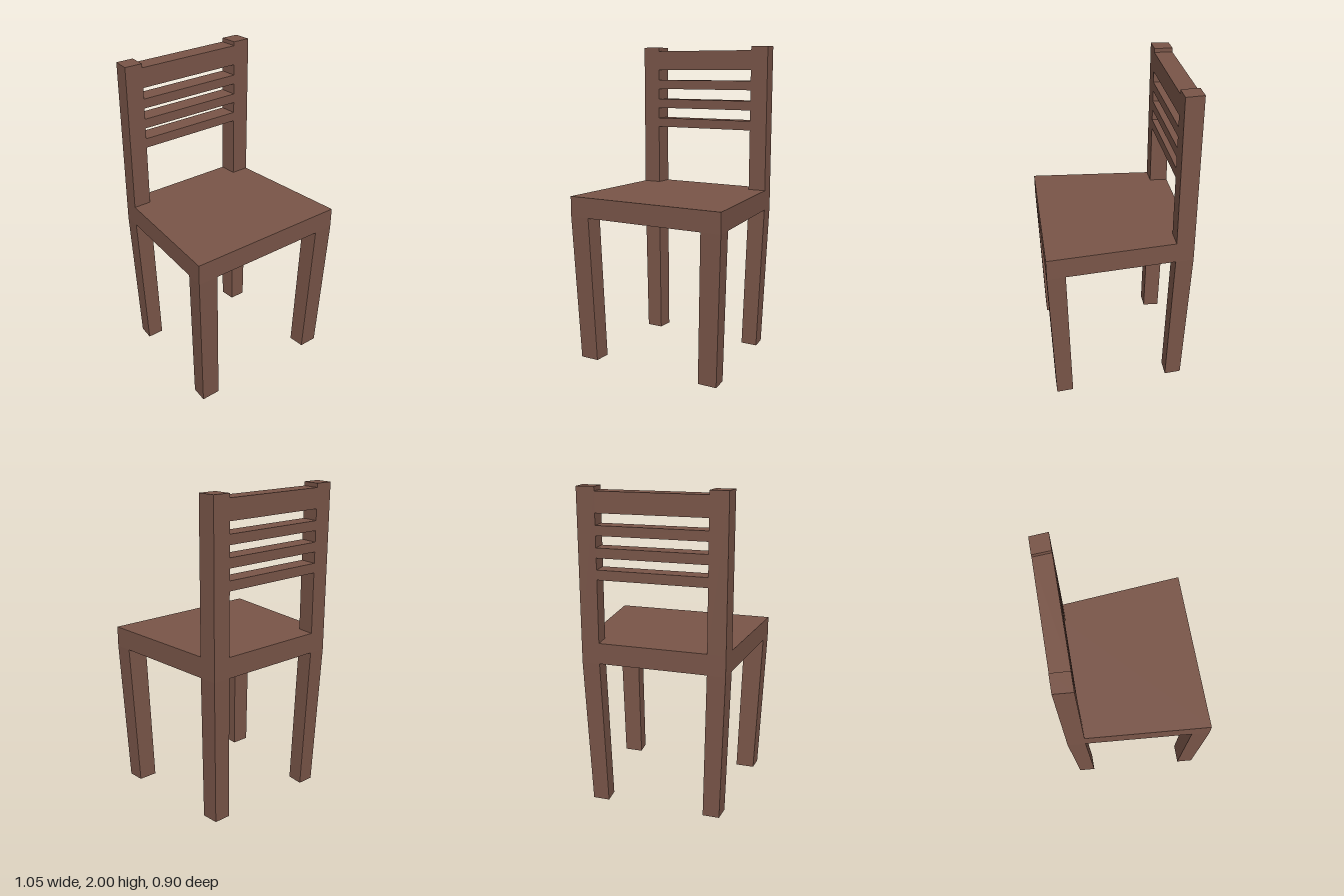
import * as THREE from 'three';

const material = new THREE.MeshStandardMaterial({ color: 0x795548, flatShading: true });

// The plan narrows toward the back: half-widths as functions of z
const outer = (z) => 0.4875 + z * 0.0833;
const inner = (z) => 0.366 + z * 0.063;
const SEAT_BOTTOM = 0.94, SEAT_TOP = 1.07, HEIGHT = 2;
const FRONT = 0.45, BACK = -0.45, INSET = 0.337;
const FOOT_SCALE = 0.933;

// Box whose sides follow left(z) and right(z); its bottom is scaled toward the centre line
function block(name, left, right, [y0, y1], [z0, z1], bottomScale = 1) {
  const geometry = new THREE.BoxGeometry(1, 1, 1);
  const p = geometry.attributes.position;
  for (let i = 0; i < p.count; i++) {
    const top = p.getY(i) > 0;
    const z = p.getZ(i) > 0 ? z1 : z0;
    const x = p.getX(i) > 0 ? right(z) : left(z);
    const s = top ? 1 : bottomScale;
    p.setXYZ(i, x * s, top ? y1 : y0, z * s);
  }
  geometry.computeVertexNormals();
  const mesh = new THREE.Mesh(geometry, material);
  mesh.name = name;
  return mesh;
}

const negate = (f) => (z) => -f(z);

export function createModel() {
  const chair = new THREE.Group();
  chair.name = 'chair';

  // Seat slab
  chair.add(block('seat', negate(outer), outer, [SEAT_BOTTOM, SEAT_TOP], [BACK, FRONT]));

  // Tapered legs and upright back posts, mirrored left and right
  for (const side of ['left', 'right']) {
    const [a, b] = side === 'left' ? [inner, outer] : [negate(outer), negate(inner)];
    const legY = [0, SEAT_BOTTOM];
    chair.add(block(side + 'FrontLeg', a, b, legY, [INSET, FRONT], FOOT_SCALE));
    chair.add(block(side + 'BackLeg', a, b, legY, [BACK, -INSET], FOOT_SCALE));
    chair.add(block(side + 'BackPost', a, b, [SEAT_TOP, HEIGHT], [BACK, -INSET]));
  }

  // Three thin slats below a broad top rail
  const slats = [[1.46, 1.52], [1.59, 1.65], [1.72, 1.78]];
  slats.forEach((y, i) => {
    chair.add(block('backSlat' + (i + 1), negate(inner), inner, y, [BACK, -INSET]));
  });
  chair.add(block('topRail', negate(inner), inner, [1.85, 1.975], [BACK, -INSET]));

  return chair;
}
